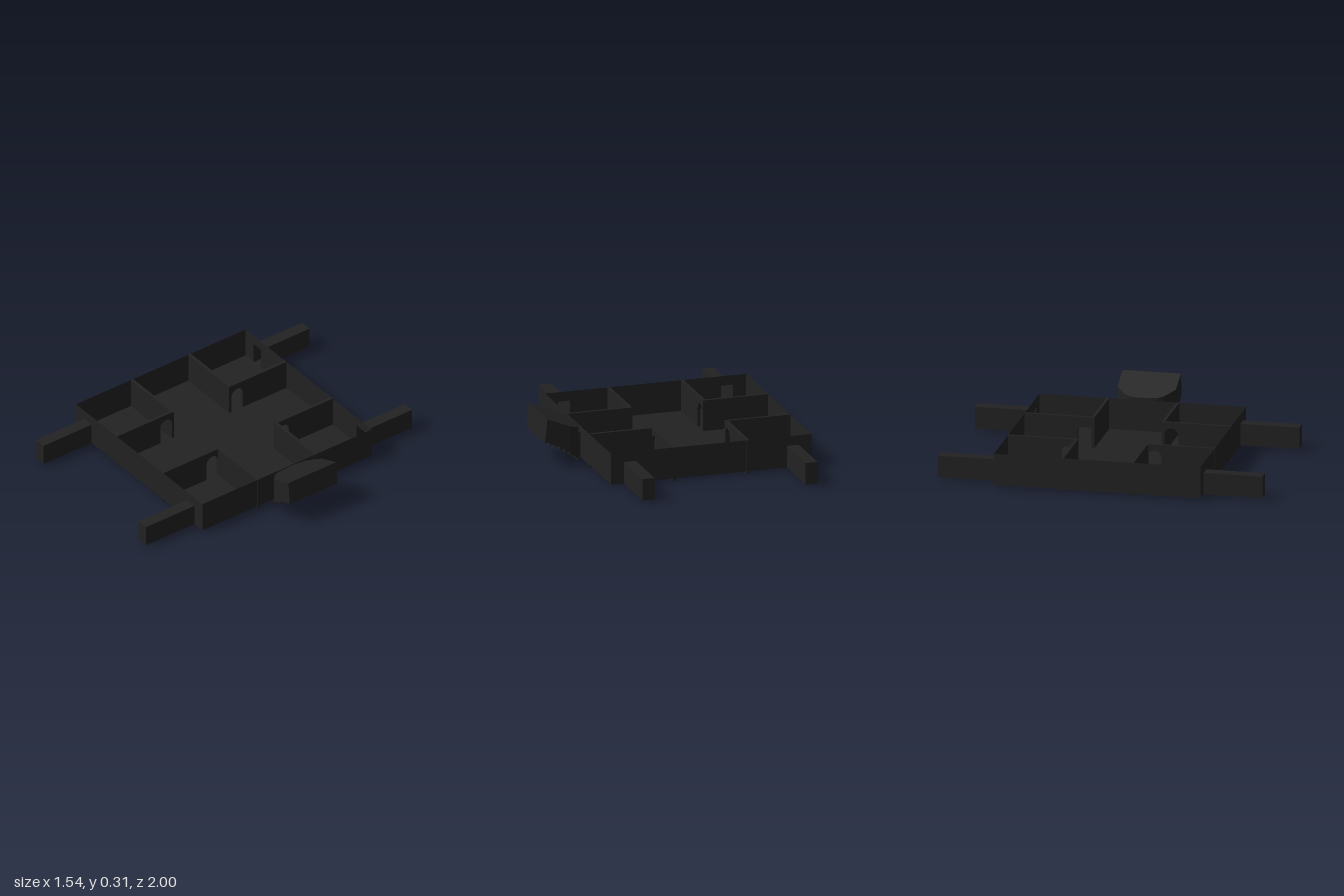
import * as THREE from 'three';

const charcoal = new THREE.MeshStandardMaterial({ color: 0x222222, side: THREE.DoubleSide });
charcoal.name = 'charcoal';

const FLOOR = 0.015, TOP = 0.21, BEAM_TOP = 0.15;
const X0 = -0.77, X1 = 0.502, Z = 0.637, MID = (X0 + X1) / 2;
const BEAMS = [-0.65, 0.383], BEAM_W = 0.076;

function add(parent, name, geometry, x = 0, y = 0, z = 0) {
  const mesh = new THREE.Mesh(geometry, charcoal);
  mesh.name = name;
  mesh.position.set(x, y, z);
  parent.add(mesh);
  return mesh;
}

function rectangle(PathType, x0, y0, x1, y1) {
  const p = new PathType();
  p.moveTo(x0, y0);
  p.lineTo(x1, y0);
  p.lineTo(x1, y1);
  p.lineTo(x0, y1);
  p.closePath();
  return p;
}

// Long outer wall with an opening into each hollow arm
function openedWall() {
  const shape = rectangle(THREE.Shape, X0, FLOOR, X1, TOP);
  for (const x of BEAMS) {
    shape.holes.push(rectangle(THREE.Path, x - BEAM_W / 2, FLOOR + 0.002, x + BEAM_W / 2, BEAM_TOP));
  }
  return new THREE.ShapeGeometry(shape);
}

// Hollow arm, open at the end that meets the wall
function armGeometry() {
  const g = new THREE.BoxGeometry(BEAM_W, BEAM_TOP - FLOOR, 1 - Z);
  g.setIndex(Array.from(g.index.array).slice(0, 30));
  g.clearGroups();
  return g;
}

// Partition with an arched doorway beside the room's inner corner
function doorWall() {
  const a = 0.225, b = 0.31, r = (b - a) / 2, spring = 0.13;
  const s = new THREE.Shape();
  s.moveTo(0.21, 0);
  s.lineTo(a, 0);
  s.lineTo(a, spring);
  s.absarc(a + r, spring, r, Math.PI, 0, true);
  s.lineTo(b, 0);
  s.lineTo(Z + 0.001, 0);
  s.lineTo(Z + 0.001, TOP);
  s.lineTo(0.21, TOP);
  s.closePath();
  const g = new THREE.ExtrudeGeometry(s, { depth: 0.018, bevelEnabled: false, curveSegments: 10 });
  return g.translate(0, 0, -0.009);
}

// Stepped balcony body, lofted from rectangular sections along x
function balconyGeometry() {
  const plan = [[0.52, 0.045], [0.528, 0.09], [0.545, 0.122], [0.565, 0.142], [0.61, 0.18], [0.77, 0.18]];
  const steps = [[0.52, 0.015], [0.54, 0.035], [0.565, 0.055], [0.59, 0.075], [0.615, 0.095],
    [0.645, 0.115], [0.675, 0.135], [0.705, 0.15], [0.74, 0.165], [0.77, 0.165]];
  const halfWidth = (x) => {
    const i = Math.max(1, plan.findIndex((p) => p[0] >= x));
    const [a, b] = [plan[i - 1], plan[i]];
    return a[1] + (b[1] - a[1]) * (x - a[0]) / (b[0] - a[0]);
  };
  const sections = [];
  const section = (x, bottom) => {
    const w = halfWidth(x);
    const tx = x === 0.77 ? 0.755 : x;
    const ty = 0.22 + (tx - 0.52) * 0.402;
    sections.push([[x, bottom, -w], [x, bottom, w], [tx, ty, w], [tx, ty, -w]]);
  };
  for (let i = 0; i < steps.length - 1; i++) {
    const [x0, y] = steps[i], x1 = steps[i + 1][0];
    section(x0, y);
    for (const p of plan) if (p[0] > x0 && p[0] < x1) section(p[0], y);
    section(x1, y);
  }
  const pos = [];
  const quad = (a, b, c, d) => pos.push(...a, ...b, ...c, ...a, ...c, ...d);
  for (let i = 0; i < sections.length - 1; i++) {
    const a = sections[i], b = sections[i + 1];
    const sides = a[0][0] === b[0][0] ? 1 : 4;
    for (let j = 0; j < sides; j++) {
      const k = (j + 1) % 4;
      quad(a[j], b[j], b[k], a[k]);
    }
  }
  const first = sections[0], last = sections[sections.length - 1];
  quad(first[0], first[1], first[2], first[3]);
  quad(last[0], last[3], last[2], last[1]);
  const g = new THREE.BufferGeometry();
  g.setAttribute('position', new THREE.Float32BufferAttribute(pos, 3));
  g.computeVertexNormals();
  return g;
}

export function createModel() {
  const model = new THREE.Group();
  model.name = 'openHouse';

  // Floor and thin end walls
  add(model, 'floor', new THREE.BoxGeometry(X1 - X0, 0.002, Z * 2), MID, FLOOR + 0.001, 0);
  for (const x of [X0, X1]) {
    const wall = add(model, 'endWall', new THREE.PlaneGeometry(Z * 2, TOP - FLOOR), x, (TOP + FLOOR) / 2, 0);
    wall.rotation.y = x < 0 ? -Math.PI / 2 : Math.PI / 2;
  }

  // Front and back: walls, arms and room partitions
  for (const side of [1, -1]) {
    add(model, side > 0 ? 'frontWall' : 'backWall', openedWall(), 0, 0, side * Z);
    for (const x of BEAMS) {
      const arm = add(model, 'arm', armGeometry(), x, (BEAM_TOP + FLOOR) / 2, side * (1 + Z) / 2);
      if (side < 0) arm.rotation.y = Math.PI;
    }
    for (const [outer, inner] of [[X0 - 0.002, -0.358], [X1 + 0.002, 0.09]]) {
      add(model, 'partition', new THREE.BoxGeometry(Math.abs(outer - inner), TOP, 0.018),
        (outer + inner) / 2, TOP / 2, side * 0.216);
    }
    for (const x of [-0.367, 0.099]) {
      const wall = add(model, 'doorwayPartition', doorWall(), x);
      wall.rotation.y = -side * Math.PI / 2;
    }
  }

  // Stepped balcony on its short neck
  add(model, 'balconyNeck', new THREE.BoxGeometry(0.03, 0.155, 0.09), 0.513, 0.0925, 0);
  add(model, 'balcony', balconyGeometry());
  return model;
}
